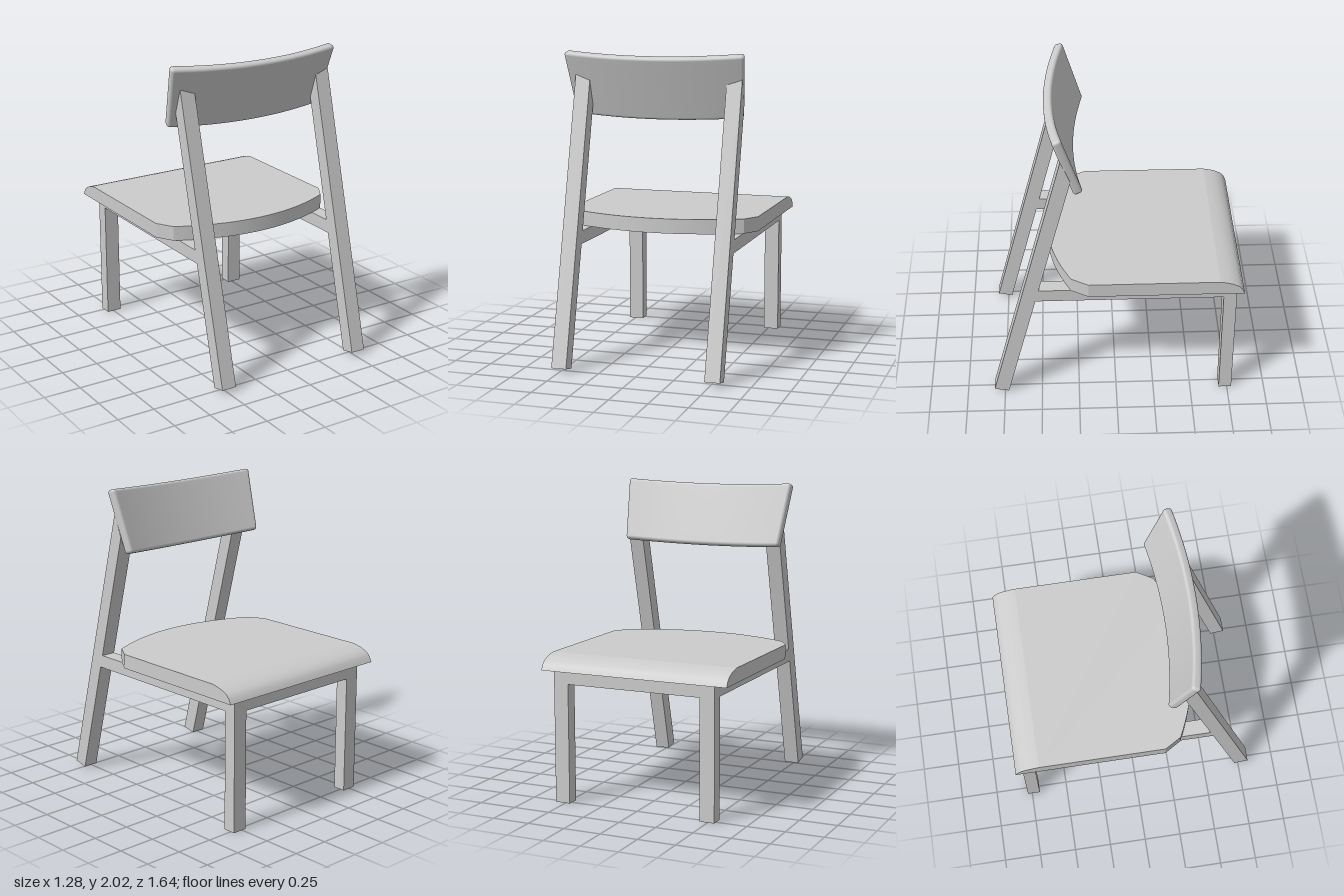
import * as THREE from 'three';
import { mergeVertices, toCreasedNormals } from 'three/addons/utils/BufferGeometryUtils.js';

const material = new THREE.MeshStandardMaterial({ color: 0xcccccc });

function add(parent, name, geometry) {
  const mesh = new THREE.Mesh(geometry, material);
  mesh.name = name;
  parent.add(mesh);
  return mesh;
}

// Side profile given as [z, y] points, extruded from x0 to x1
function profileAlongX(points, x0, x1) {
  const shape = new THREE.Shape(points.map(([z, y]) => new THREE.Vector2(z, y)));
  const g = new THREE.ExtrudeGeometry(shape, { depth: x1 - x0, bevelEnabled: false });
  return g.rotateY(-Math.PI / 2).translate(x1, 0, 0);
}

// Box with rounded edges and enough segments to be bent smoothly
function softBox(size, segments, radius) {
  const g = new THREE.BoxGeometry(...segments, ...segments);
  g.deleteAttribute('uv');
  g.deleteAttribute('normal');
  const pos = g.attributes.position;
  const edge = 4; // segments spent on each rounded edge
  const inner = new THREE.Vector3(), offset = new THREE.Vector3();
  for (let i = 0; i < pos.count; i++) {
    [0, 1, 2].forEach((axis) => {
      const n = segments[axis] / 2, flat = size[axis] / 2 - radius;
      const p = pos.getComponent(i, axis), a = Math.abs(p), s = Math.sign(p);
      const past = Math.max(0, a - (n - edge)) / edge;
      const t = past > 0 ? 1 : a / Math.max(1, n - edge);
      inner.setComponent(axis, s * flat * t);
      offset.setComponent(axis, s * Math.tan(past * Math.PI / 4));
    });
    inner.addScaledVector(offset.normalize(), radius);
    pos.setXYZ(i, inner.x, inner.y, inner.z);
  }
  return mergeVertices(g, 1e-5);
}

function makeSeat() {
  const seat = new THREE.Group();
  seat.name = 'seat';
  const bottom = 0.87, top = 0.965, half = 0.64, noseZ = -0.66;

  // Flat panel with clipped rear corners and a bowed rear edge
  const outline = [[-half, noseZ], [half, noseZ], [half, 0.18]];
  for (let i = 0; i <= 24; i++) {
    const t = 1 - i / 12;
    outline.push([0.575 * t, 0.44 - 0.15 * t * t]);
  }
  outline.push([-half, 0.18]);
  const shape = new THREE.Shape(outline.map(([x, z]) => new THREE.Vector2(x, z)));
  const panel = new THREE.ExtrudeGeometry(shape, { depth: top - bottom, bevelEnabled: false });
  panel.rotateX(Math.PI / 2).translate(0, top, 0);
  add(seat, 'seatPanel', toCreasedNormals(panel, 0.45));

  // Rounded front lip
  const lip = profileAlongX([
    [noseZ, bottom], [noseZ, top], [-0.7, 0.958], [-0.74, 0.947],
    [-0.78, 0.928], [-0.803, 0.905], [-0.82, bottom],
  ], -half, half);
  add(seat, 'seatLip', toCreasedNormals(lip, 0.5));
  return seat;
}

function makeBackrest() {
  const g = softBox([1.166, 0.425, 0.058], [40, 16, 8], 0.02);
  const pos = g.attributes.position;
  for (let i = 0; i < pos.count; i++) {
    const y = pos.getY(i), z = pos.getZ(i);
    const x = pos.getX(i) * (1 + 0.15 * y); // wider towards the top
    pos.setXYZ(i, x + 0.4 * x * z, y, z - 0.2 * x * x); // bowed backwards
  }
  g.rotateX(THREE.MathUtils.degToRad(19));
  g.rotateY(-0.016);
  g.translate(-0.0125, 1.79, 0.35);
  g.computeVertexNormals();
  return g;
}

export function createModel() {
  const chair = new THREE.Group();
  chair.name = 'chair';
  chair.add(makeSeat());
  add(chair, 'backrest', makeBackrest());

  // Legs and side rail on each side
  for (const [side, x0, x1] of [['left', 0.47, 0.57], ['right', -0.545, -0.445]]) {
    const frame = new THREE.Group();
    frame.name = side + 'Frame';
    add(frame, 'backLeg', profileAlongX(
      [[0.725, 0.01], [0.82, 0.03], [0.34, 1.862], [0.282, 1.71]], x0, x1));
    add(frame, 'frontLeg', profileAlongX(
      [[-0.78, 0], [-0.695, 0], [-0.695, 0.785], [-0.78, 0.785]], x0, x1));
    add(frame, 'sideRail', profileAlongX(
      [[-0.78, 0.785], [0.53, 0.785], [0.508, 0.87], [-0.78, 0.87]], x0, x1));
    chair.add(frame);
  }

  // Rail between the front legs
  add(chair, 'frontRail', profileAlongX(
    [[-0.78, 0.785], [-0.695, 0.785], [-0.695, 0.87], [-0.78, 0.87]], -0.445, 0.47));
  return chair;
}
